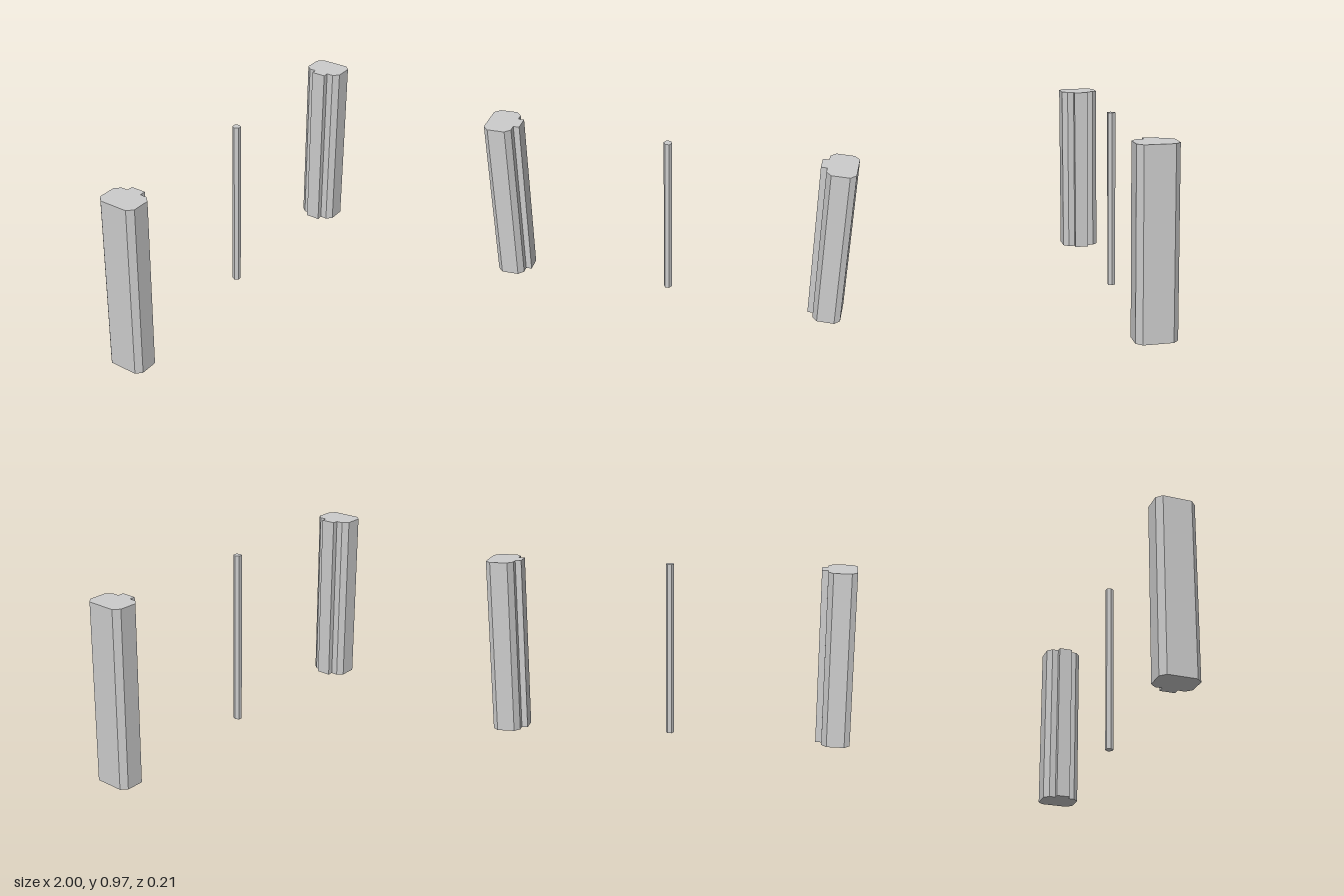
import * as THREE from 'three';

const HEIGHT = 0.97;

export function createModel() {
  const model = new THREE.Group();
  const material = new THREE.MeshStandardMaterial({ color: 0xcccccc, flatShading: true });

  // Half of the post outline (x, z): inner tongue, shoulder, chamfered body
  const half = [
    [0.813, 0.04], [0.846, 0.04], [0.846, 0.077], [0.874, 0.106], [0.97, 0.106], [1, 0.077],
  ];
  const outline = [...half, ...half.map(([x, z]) => [x, -z]).reverse()];

  // Mirrored pair of chamfered posts, tongues facing each other
  for (const [name, side] of [['leftPost', 1], ['rightPost', -1]]) {
    const shape = new THREE.Shape(outline.map(([x, z]) => new THREE.Vector2(side * x, z)));
    const geometry = new THREE.ExtrudeGeometry(shape, { depth: HEIGHT, bevelEnabled: false });
    geometry.rotateX(-Math.PI / 2);
    const post = new THREE.Mesh(geometry, material);
    post.name = name;
    model.add(post);
  }

  // Thin hexagonal rod midway between the posts, corners on the x axis
  const rodGeometry = new THREE.CylinderGeometry(0.023, 0.023, HEIGHT, 6);
  rodGeometry.rotateY(Math.PI / 6);
  const rod = new THREE.Mesh(rodGeometry, material);
  rod.name = 'centreRod';
  rod.position.y = HEIGHT / 2;
  model.add(rod);

  return model;
}
